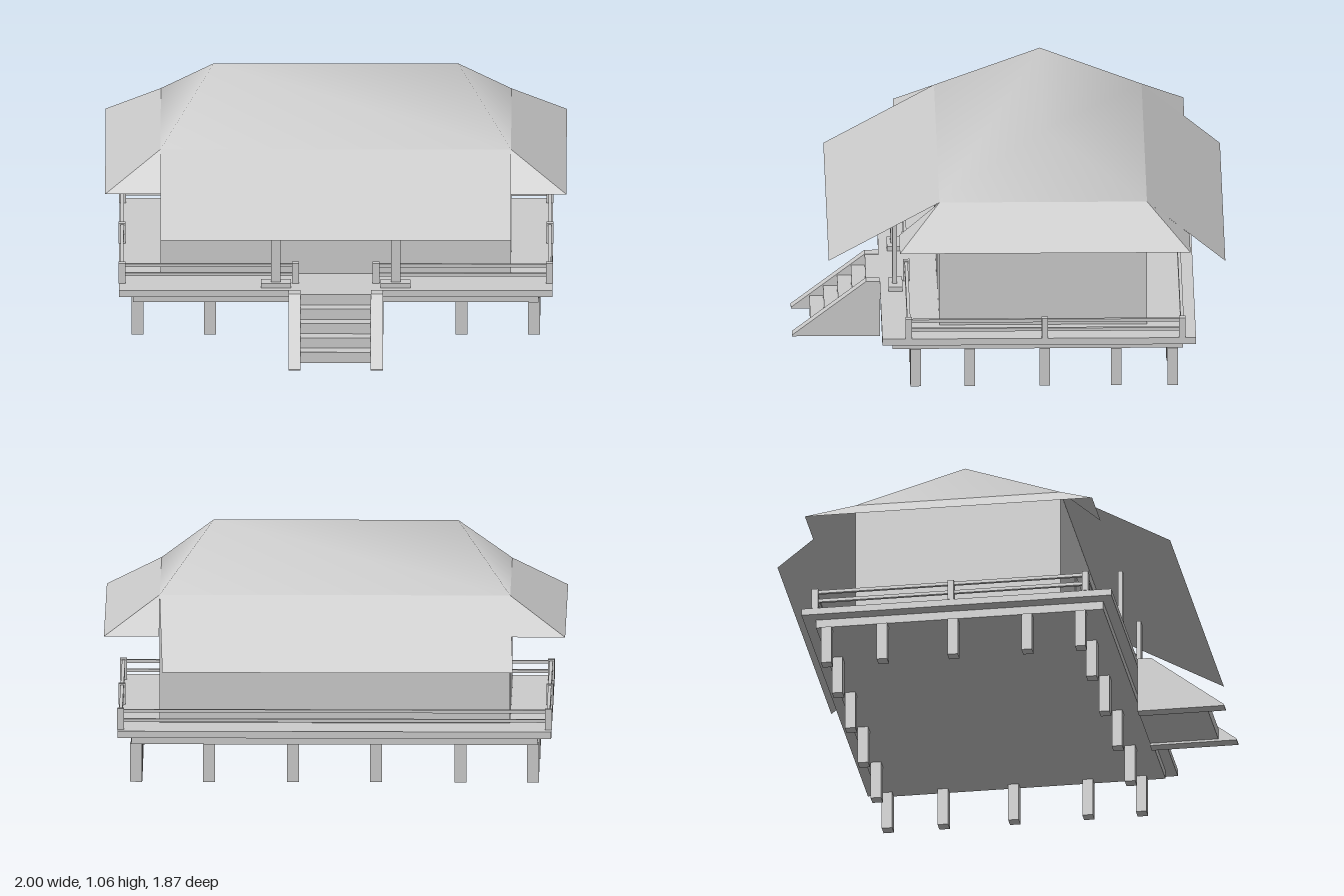
import * as THREE from 'three';

const mat = new THREE.MeshStandardMaterial({ color: 0xcccccc });
const sheet = new THREE.MeshStandardMaterial({ color: 0xcccccc, side: THREE.DoubleSide });

export function createModel() {
  const model = new THREE.Group();

  const add = (parent, name, geometry, material = mat) => {
    const mesh = new THREE.Mesh(geometry, material);
    mesh.name = name;
    parent.add(mesh);
    return mesh;
  };
  const group = (name) => {
    const g = new THREE.Group();
    g.name = name;
    model.add(g);
    return g;
  };
  // Box given by its limits on each axis
  const box = (parent, name, [x0, x1], [y0, y1], [z0, z1]) => {
    const mesh = add(parent, name, new THREE.BoxGeometry(x1 - x0, y1 - y0, z1 - z0));
    mesh.position.set((x0 + x1) / 2, (y0 + y1) / 2, (z0 + z1) / 2);
    return mesh;
  };
  const around = (c, w) => [c - w / 2, c + w / 2];
  // Thin sheet from shared corners and polygon faces (each drawn as a fan)
  const panel = (parent, name, corners, faces) => {
    const index = [];
    for (const f of faces)
      for (let i = 1; i < f.length - 1; i++) index.push(f[0], f[i], f[i + 1]);
    const g = new THREE.BufferGeometry();
    g.setAttribute('position', new THREE.Float32BufferAttribute(corners.flat(), 3));
    g.setIndex(index);
    g.computeVertexNormals();
    return add(parent, name, g, sheet);
  };
  // Profile in (z, y), extruded along x
  const sideProfile = (parent, name, points, x0, x1) => {
    const shape = new THREE.Shape(points.map(([z, y]) => new THREE.Vector2(-z, y)));
    const g = new THREE.ExtrudeGeometry(shape, { depth: x1 - x0, bevelEnabled: false });
    g.rotateY(Math.PI / 2).translate(x0, 0, 0);
    return add(parent, name, g);
  };

  // Deck and the frame below it
  box(model, 'deck', [-0.94, 0.94], [0.217, 0.247], [-0.81, 0.55]);
  box(model, 'deckFrame', [-0.88, 0.88], [0.18, 0.217], [-0.755, 0.505]);

  // Stilts around the perimeter
  const stilts = group('stilts');
  const xs = [-0.86, -0.545, -0.18, 0.18, 0.545, 0.86];
  const zs = [0.405, 0.17, -0.155, -0.465, -0.71];
  xs.forEach((x, i) => zs.forEach((z, j) => {
    if (i % 5 === 0 || j % 4 === 0)
      box(stilts, 'stilt', around(x, 0.052), [0.01, 0.18], around(z, 0.046));
  }));

  // House walls, door and shuttered windows
  const house = group('house');
  const walls = add(house, 'walls', new THREE.BoxGeometry(1.52, 0.56, 0.9), sheet);
  walls.position.set(0, 0.527, -0.15);
  box(house, 'door', [-0.15, 0.15], [0.247, 0.6], [0.3, 0.303]);
  for (const s of [-1, 1]) {
    box(house, 'window', around(s * 0.255, 0.21), [0.27, 0.6], [0.3, 0.304]);
    box(house, 'windowRail', around(s * 0.255, 0.21), [0.455, 0.47], [0.3, 0.308]);
    // Porch column on a base block
    box(house, 'porchColumn', around(s * 0.26, 0.04), [0.247, 0.64], around(0.487, 0.02));
    box(house, 'columnBase', around(s * 0.26, 0.13), [0.247, 0.268], around(0.483, 0.06));
  }

  // Railings
  const railing = group('railing');
  const heights = [0.326, 0.285];
  for (const s of [-1, 1]) {
    for (const z of [0.435, -0.155, -0.75])
      box(railing, 'railPost', around(s * 0.927, 0.03), [0.247, 0.338], around(z, 0.028));
    box(railing, 'railPost', around(s * 0.175, 0.03), [0.247, 0.338], around(0.435, 0.028));
    for (const y of heights) {
      box(railing, 'sideRail', around(s * 0.927, 0.014), around(y, 0.014), [-0.75, 0.435]);
      box(railing, 'frontRail', s > 0 ? [0.175, 0.927] : [-0.927, -0.175], around(y, 0.014), around(0.435, 0.014));
    }
  }
  for (const y of heights)
    box(railing, 'backRail', [-0.927, 0.927], around(y, 0.014), around(-0.75, 0.014));

  // Stairs: solid steps between sloping stringers
  const stairs = group('stairs');
  const steps = [[0.55, 0.01], [0.55, 0.247]];
  for (let i = 0; i < 5; i++) {
    const z = 0.61 + i * 0.06;
    steps.push([z, 0.247 - i * 0.047], [z, i < 4 ? 0.2 - i * 0.047 : 0.01]);
  }
  sideProfile(stairs, 'steps', steps, -0.155, 0.155);
  for (const x of [-0.205, 0.152])
    sideProfile(stairs, 'stringer', [[0.55, 0], [0.55, 0.25], [0.61, 0.25], [0.93, 0.006], [0.93, 0]], x, x + 0.053);

  // Upper hipped roof
  const roof = group('roof');
  panel(roof, 'upperRoof', [
    [-0.53, 1.06, -0.155], [0.53, 1.06, -0.155],
    [-0.76, 0.81, 0.3], [0.76, 0.81, 0.3], [-0.76, 0.81, -0.6], [0.76, 0.81, -0.6],
  ], [[0, 2, 3, 1], [1, 5, 4, 0], [1, 3, 5], [0, 4, 2]]);

  // Long front and back eaves
  panel(roof, 'frontEave', [
    [-0.76, 0.81, 0.3], [-0.76, 0.545, 0.78], [0.76, 0.545, 0.78], [0.76, 0.81, 0.3],
  ], [[0, 1, 2, 3]]);
  panel(roof, 'backEave', [
    [0.76, 0.81, -0.6], [0.745, 0.53, -0.94], [-0.775, 0.53, -0.94], [-0.76, 0.81, -0.6],
  ], [[0, 1, 2, 3]]);

  // Flared side eaves with corner pieces, mirrored
  for (const s of [1, -1]) {
    const side = new THREE.Group();
    side.name = s > 0 ? 'leftEave' : 'rightEave';
    side.scale.x = s;
    roof.add(side);
    const frontTop = [0.76, 0.81, 0.3], frontTip = [1, 0.66, 0.475];
    const backTop = [0.76, 0.81, -0.6], backTip = [1, 0.66, -0.785];
    panel(side, 'sideEave', [frontTop, frontTip, backTip, backTop], [[0, 1, 2, 3]]);
    panel(side, 'frontCorner', [frontTop, [0.76, 0.66, 0.475], frontTip], [[0, 1, 2]]);
    panel(side, 'backCorner', [backTop, backTip, [0.76, 0.66, -0.785]], [[0, 1, 2]]);
  }

  return model;
}
